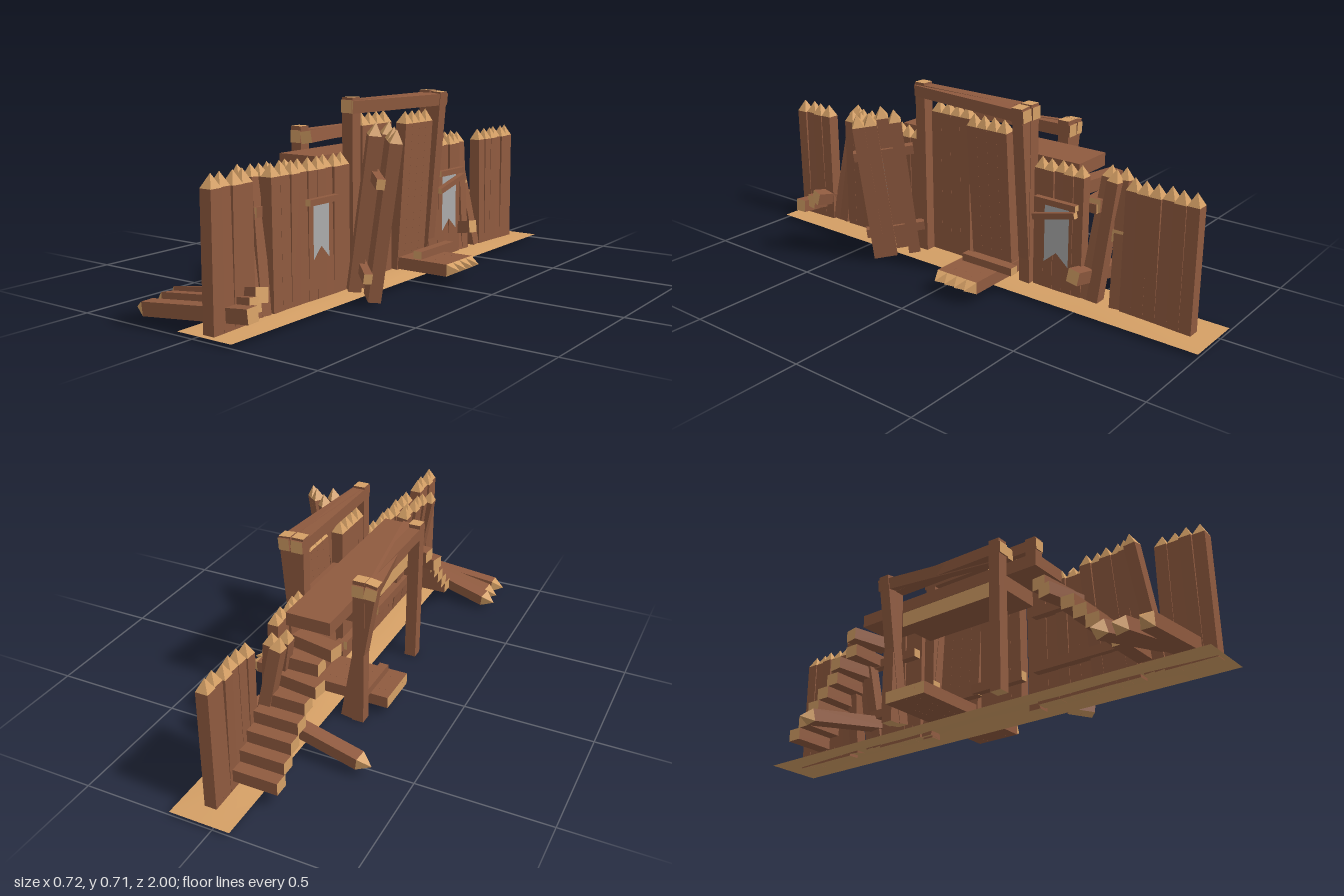
import * as THREE from 'three';

const bark = new THREE.MeshStandardMaterial({ color: 0x8f5a3f });
bark.name = 'brown wood';
const cut = new THREE.MeshStandardMaterial({ color: 0xd49f65 });
cut.name = 'pale cut wood';
const cloth = new THREE.MeshStandardMaterial({ color: 0xaaaaaa, side: THREE.DoubleSide });
cloth.name = 'grey cloth';
const earth = new THREE.MeshStandardMaterial({ color: 0xd49f65, side: THREE.DoubleSide });
earth.name = 'sandy ground';

const V = (x, y, z) => new THREE.Vector3(x, y, z);

// Box timber whose two ends along one axis (0 x, 1 y, 2 z) show pale cut wood; -1 leaves all brown
function timber(name, w, h, d, axis) {
  const mats = [0, 0, 1, 1, 2, 2].map(a => (a === axis ? cut : bark));
  const m = new THREE.Mesh(new THREE.BoxGeometry(w, h, d), mats);
  m.name = name;
  return m;
}

// Timber laid between two points
function beam(name, a, b, w) {
  const d = b.clone().sub(a);
  const m = timber(name, w, d.length(), w, 1);
  m.position.copy(a).add(b).multiplyScalar(0.5);
  m.quaternion.setFromUnitVectors(V(0, 1, 0), d.normalize());
  return m;
}

// Four-sided pointed end for a square log
const tipShape = (() => {
  const g = new THREE.ConeGeometry(Math.SQRT1_2, 1, 4, 1, true).toNonIndexed();
  g.rotateY(Math.PI / 4);
  g.translate(0, 0.5, 0);
  g.computeVertexNormals();
  return g;
})();

// Sharpened log from its foot to the tip of its point
function stake(name, foot, top, w = 0.045) {
  const g = new THREE.Group();
  g.name = name;
  const d = top.clone().sub(foot);
  const len = d.length() - w;
  const body = timber('logBody', w, len, w, 1);
  body.position.y = len / 2;
  const tip = new THREE.Mesh(tipShape, cut);
  tip.name = 'logTip';
  tip.scale.setScalar(w);
  tip.position.y = len;
  g.add(body, tip);
  g.position.copy(foot);
  g.quaternion.setFromUnitVectors(V(0, 1, 0), d.normalize());
  return g;
}

// Gate leaf of four sharpened logs along z, with two rails on the -x side;
// secondLogX pushes the second log out of line
function gateLeaf(name, railShift = 0, secondLogX = 0) {
  const g = new THREE.Group();
  g.name = name;
  for (let i = 0; i < 4; i++) {
    const x = i === 1 ? secondLogX : 0, z = (i - 1.5) * 0.046;
    g.add(stake('gateLog', V(x, 0, z), V(x, 0.61, z), 0.0458));
  }
  for (const y of [0.09, 0.425]) {
    const r = timber('gateRail', 0.03, 0.036, 0.23, 2);
    r.position.set(-0.037, y, railShift);
    g.add(r);
  }
  return g;
}

export function createModel() {
  const root = new THREE.Group();
  root.name = 'palisadeGate';

  // Ground strip, gently raised along the middle
  const ground = new THREE.PlaneGeometry(0.232, 2, 6, 16).rotateX(-Math.PI / 2);
  const p = ground.attributes.position;
  for (let i = 0; i < p.count; i++) {
    const u = p.getX(i) / 0.116, v = p.getZ(i);
    p.setY(i, 0.013 + 0.018 * (1 - u * u) * (1 - v * v) * (0.75 + 0.25 * Math.cos(9 * v)));
  }
  ground.computeVertexNormals();
  const groundMesh = new THREE.Mesh(ground, earth);
  groundMesh.name = 'ground';
  groundMesh.position.x = 0.05;
  root.add(groundMesh);

  // Upright palisade sections: start z, end z
  const wall = new THREE.Group();
  wall.name = 'palisadeWall';
  for (const [z0, z1] of [[0.79, 0.98], [0.285, 0.70], [-0.48, -0.27], [-0.925, -0.645]]) {
    const n = Math.round((z1 - z0) / 0.046), step = (z1 - z0) / n;
    for (let i = 0; i < n; i++) {
      const z = z0 + (i + 0.5) * step;
      wall.add(stake('wallLog', V(0.052, 0.01, z), V(0.05 + 0.006 * Math.sin(i * 2.3), 0.52, z), step - 0.0005));
    }
  }
  // Loosened logs leaning back
  for (const [zf, zt, xt] of [[0.775, 0.735, -0.045], [0.735, 0.70, -0.02], [0.67, 0.67, -0.01],
    [0.63, 0.625, -0.015], [0.585, 0.58, 0], [0.54, 0.54, -0.01],
    [-0.495, -0.53, -0.035], [-0.53, -0.57, 0.0], [-0.625, -0.585, -0.04]])
    wall.add(stake('leaningLog', V(0.052, 0.02, zf), V(xt, 0.515, zt)));
  for (const [z0, z1] of [[0.29, 0.73], [-0.51, -0.28]])
    for (const y of [0.14, 0.36]) wall.add(beam('wallRail', V(0.014, y, z0), V(0.014, y, z1), 0.035));
  root.add(wall);

  // Fallen logs
  for (const [a, b] of [
    [V(0.14, 0.125, 0.83), V(-0.36, 0.035, 0.745)],
    [V(0.14, 0.10, 0.86), V(-0.35, 0.035, 0.815)],
    [V(0.165, 0.08, 0.90), V(-0.35, 0.027, 0.91)],
    [V(0.135, 0.13, -0.487), V(-0.355, 0.045, -0.535)],
  ]) root.add(stake('fallenLog', a, b, 0.05));

  // Gate frames: straight posts and beam, with a crooked post and a skewed beam beside them
  for (const { name, x, foot, top, near, h, y } of [
    { name: 'frontGateFrame', x: 0.065, foot: 0.055, top: 0.118, near: 0.069, h: 0.71, y: 0.678 },
    { name: 'rearGateFrame', x: -0.172, foot: -0.125, top: -0.22, near: -0.125, h: 0.595, y: 0.557 },
  ]) {
    const frame = new THREE.Group();
    frame.name = name;
    frame.add(
      beam('gatePost', V(x, 0, 0.262), V(x, h, 0.262), 0.046),
      beam('gatePost', V(x, 0, -0.24), V(x, h, -0.24), 0.046),
      beam('crookedGatePost', V(foot, 0.006, -0.238), V(top, h - 0.004, -0.238), 0.046),
      beam('gateBeam', V(x, y, 0.29), V(x, y, -0.27), 0.046),
      beam('skewedGateBeam', V(near, y - 0.001, 0.285), V(top, y - 0.001, -0.268), 0.045));
    root.add(frame);
  }

  // Gate leaves: two hanging, one flat on the ground, one swung out and leaning
  const shut = gateLeaf('closedGateLeaf');
  shut.position.set(0.055, 0.04, 0.12);
  const ajar = gateLeaf('slantedGateLeaf');
  ajar.position.set(0.063, 0.035, -0.09);
  ajar.rotation.z = -0.07;
  const flat = gateLeaf('fallenGateLeaf', -0.04);
  flat.position.set(-0.26, 0.06, -0.095);
  flat.rotation.z = -Math.PI / 2;
  const open = gateLeaf('openGateLeaf', -0.008, -0.055);
  open.position.set(0.185, 0.025, 0.315);
  const swing = new THREE.Quaternion().setFromAxisAngle(V(0, 1, 0), 0.8);
  const lean = new THREE.Quaternion().setFromAxisAngle(V(0, 0, 1), -0.16);
  open.quaternion.copy(lean).multiply(swing);
  root.add(shut, ajar, flat, open);

  // Walkway deck on cross timbers with pale ends
  const deck = timber('walkwayDeck', 0.17, 0.05, 0.84, -1);
  deck.position.set(-0.06, 0.485, -0.01);
  const support = timber('walkwaySupport', 0.165, 0.06, 0.5, 0);
  support.position.set(-0.06, 0.43, 0.03);
  root.add(deck, support);

  // Stairs at both ends, with a few slipped treads
  for (const { name, s, n, run, top, slips } of [
    { name: 'frontStairs', s: 1, n: 7, run: 0.047, top: 0.371, slips: [0.02, 0.045] },
    { name: 'rearStairs', s: -1, n: 8, run: 0.05, top: 0.42, slips: [0.04, 0, 0.025] },
  ]) {
    const stairs = new THREE.Group();
    stairs.name = name;
    for (let i = 0; i < n; i++) {
      const slip = slips[i] || 0;
      const t = timber('stairTread', 0.17, 0.048, run + 0.008, 0);
      t.position.set(-0.06 - slip, top - i * 0.048, s * (0.42 + run * (i + 0.45)));
      t.rotation.y = -slip * 5;
      stairs.add(t);
    }
    root.add(stairs);
  }

  // Swallow-tailed banners under short bars
  for (const [z, w, bottom] of [[0.46, 0.085, 0.165], [-0.378, 0.105, 0.13]]) {
    const s = new THREE.Shape([[-w / 2, 0.365], [-w / 2, bottom], [0, bottom + 0.045], [w / 2, bottom], [w / 2, 0.365]]
      .map(q => new THREE.Vector2(...q)));
    const banner = new THREE.Mesh(new THREE.ShapeGeometry(s), cloth);
    banner.name = 'banner';
    banner.rotation.y = Math.PI / 2;
    banner.position.set(0.084, 0, z);
    const half = w / 2 + 0.035;
    root.add(banner, beam('bannerBar', V(0.09, 0.37, z - half), V(0.09, 0.37, z + half), 0.022));
  }
  root.add(beam('brokenBannerBar', V(0.095, 0.345, -0.465), V(0.095, 0.302, -0.285), 0.022));

  return root;
}
